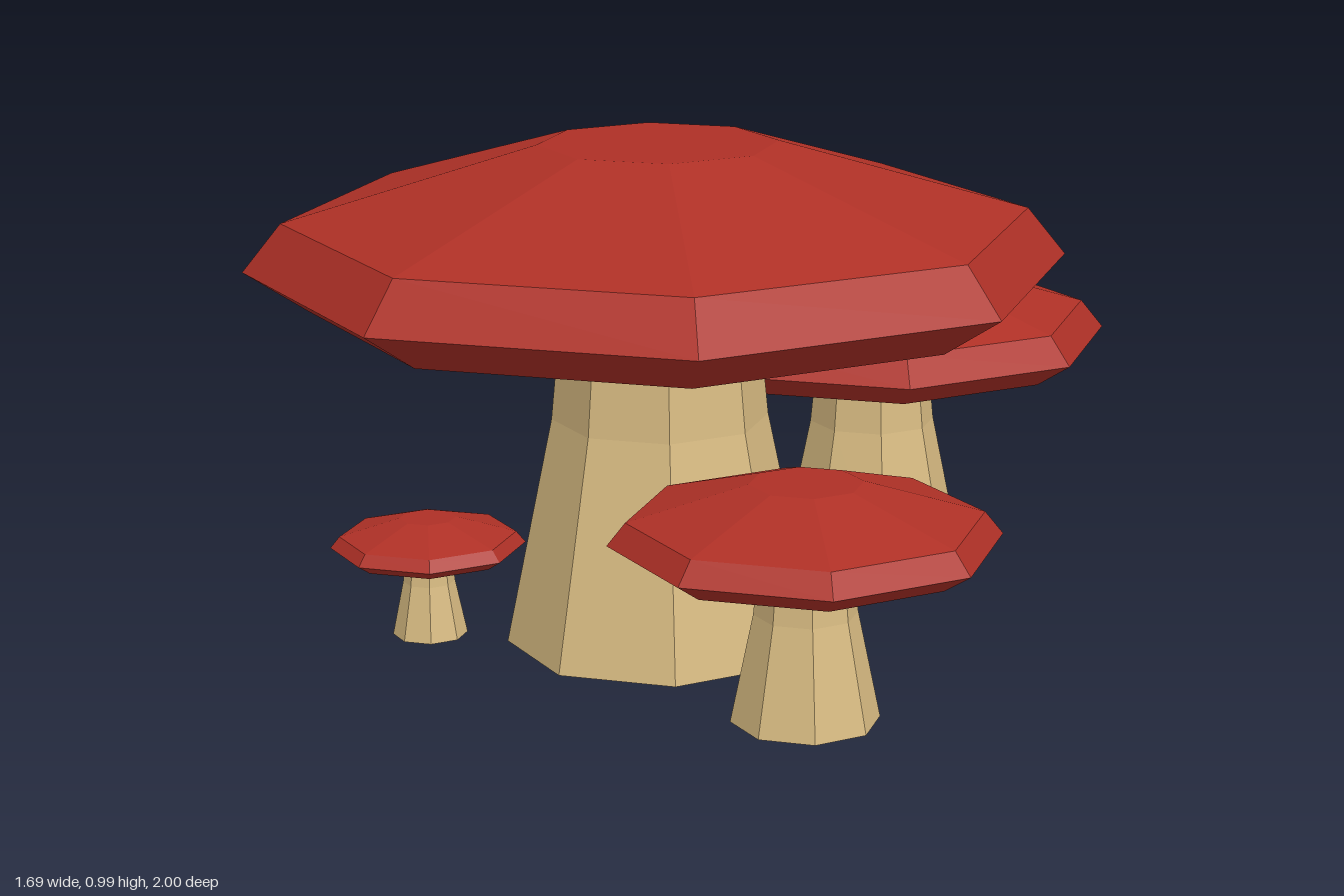
import * as THREE from 'three';

const SIDES = 8;

// Eight-sided turned shape from [radius, height] points, listed from bottom to top
function turned(points) {
  return new THREE.LatheGeometry(points.map(([r, y]) => new THREE.Vector2(r, y)), SIDES);
}

export function createModel() {
  const red = new THREE.MeshStandardMaterial({ color: 0xae3026, flatShading: true });
  red.name = 'cap red';
  const tan = new THREE.MeshStandardMaterial({ color: 0xd8bb82, flatShading: true });
  tan.name = 'stem tan';

  // Flared stem with a closed base
  const stem = turned([[0, 0], [0.305, 0], [0.212, 0.45], [0.19, 0.676]]);
  // Pale underside of the cap
  const gills = turned([[0, 0.676], [0.672, 0.676]]);
  // Bevelled rim, sloping crown and flat top
  const cap = turned([[0.672, 0.676], [0.795, 0.755], [0.72, 0.848], [0.232, 0.99], [0, 0.99]]);

  const parts = [['stem', stem, tan], ['capUnderside', gills, tan], ['cap', cap, red]];

  // Name, position and scale of each mushroom
  const mushrooms = [
    ['largeMushroom', -0.055, 0, 0.205, 1],
    ['backMushroom', -0.065, 0.015, -0.505, 0.623],
    ['leftMushroom', 0.48, 0.014, 0.433, 0.453],
    ['smallMushroom', -0.4, 0.012, 0.505, 0.24],
  ];

  const model = new THREE.Group();
  model.name = 'mushroomCluster';
  for (const [name, x, y, z, scale] of mushrooms) {
    const group = new THREE.Group();
    group.name = name;
    for (const [part, geometry, material] of parts) {
      const mesh = new THREE.Mesh(geometry, material);
      mesh.name = part;
      group.add(mesh);
    }
    group.position.set(x, y, z);
    group.scale.setScalar(scale);
    model.add(group);
  }
  return model;
}
